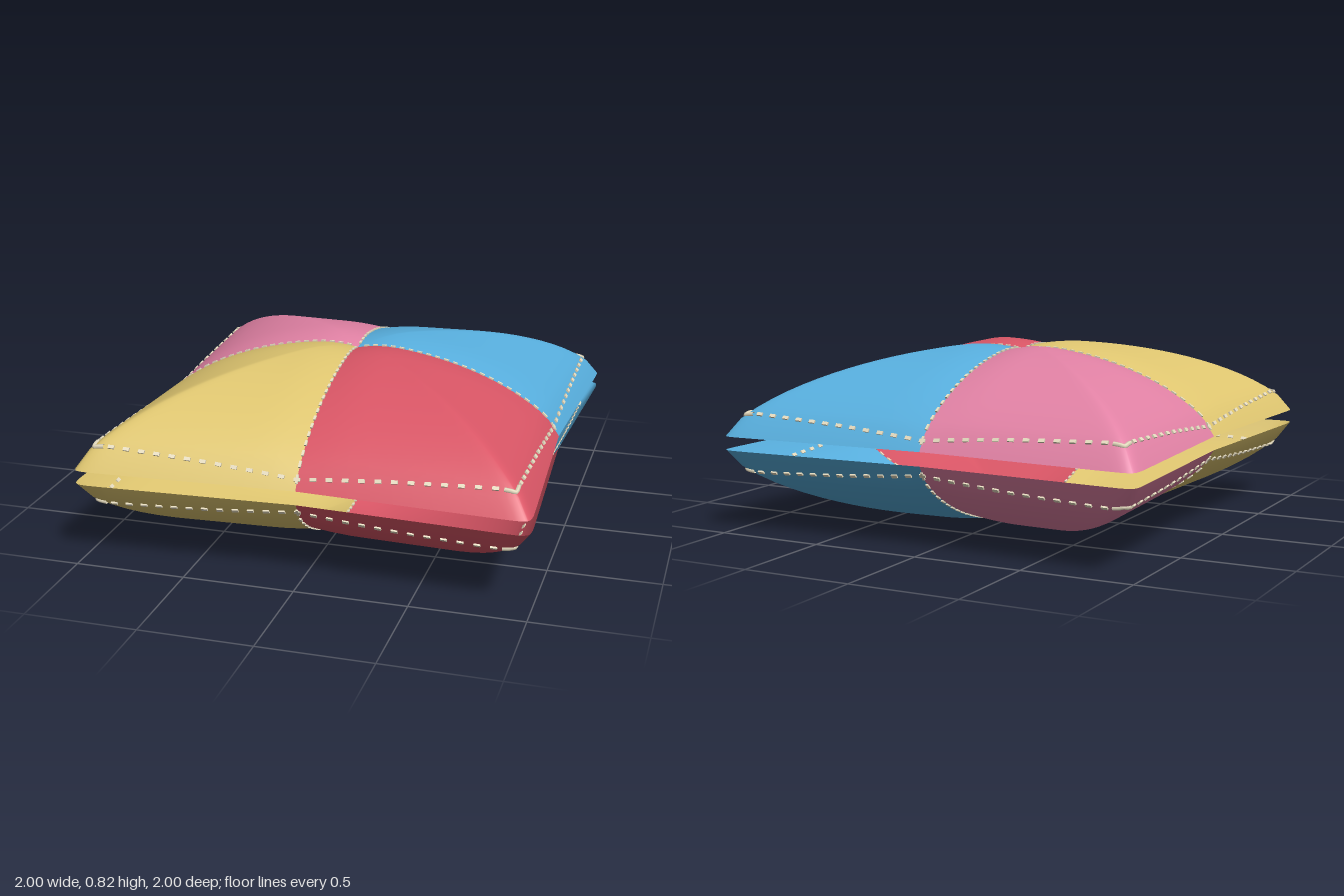
import * as THREE from 'three';
import { mergeGeometries } from 'three/addons/utils/BufferGeometryUtils.js';

const EDGE = 0.953, PINCH = 0.05, POWER = 40; // outline: pinched square with rounded corners
const HEIGHT = 0.387, MIDDLE = 0.411, HALF_GAP = 0.031;

// 0 at the centre, 1 on the rim
function rimFraction(x, z) {
  const ax = Math.abs(x), az = Math.abs(z);
  const a = Math.max(0, (ax - PINCH * az) / EDGE);
  const b = Math.max(0, (az - PINCH * ax) / EDGE);
  return Math.pow(Math.pow(a, POWER) + Math.pow(b, POWER), 1 / POWER);
}

// Puffed height above the rim, with grooves along both seams
function puff(x, z) {
  const s = Math.min(1, rimFraction(x, z));
  const round = v => Math.pow(1 - v * v, 0.7);
  const f = s > 0.95 ? round(0.95) * (1 - s) / 0.05 : round(s);
  const groove = v => 0.022 * Math.pow(Math.max(0, 1 - Math.abs(v) / 0.2), 2);
  return f * (HEIGHT - groove(x) - groove(z));
}

function surfacePoint(x, z, side) {
  return new THREE.Vector3(x, MIDDLE + side * (HALF_GAP + puff(x, z)), z);
}

// One quarter of a shell, made of rings scaled from the outline
function quarterPanel(sx, sz, side) {
  const rings = 20, half = 16, cols = half * 2;
  const positions = [], index = [];
  for (let i = 0; i <= rings; i++) {
    for (let j = 0; j <= cols; j++) {
      const k = j <= half ? j / half : (cols - j) / half;
      const w = 1 - (1 - k) * (1 - k);
      const [dx, dz] = j <= half ? [1, w] : [w, 1];
      const scale = i / rings / rimFraction(dx, dz);
      positions.push(...surfacePoint(sx * dx * scale, sz * dz * scale, side).toArray());
    }
  }
  const flip = sx * sz * side < 0;
  for (let i = 0; i < rings; i++) {
    for (let j = 0; j < cols; j++) {
      const a = i * (cols + 1) + j, b = a + 1, c = a + cols + 1, d = c + 1;
      const tris = i === 0 ? [[a, d, c]] : [[a, b, d], [a, d, c]];
      for (const [p, q, r] of tris) index.push(...(flip ? [p, r, q] : [p, q, r]));
    }
  }
  const geometry = new THREE.BufferGeometry();
  geometry.setAttribute('position', new THREE.Float32BufferAttribute(positions, 3));
  geometry.setIndex(index);
  geometry.computeVertexNormals();
  return geometry;
}

// A short thread lying on the surface between two plan points
function dash(x0, z0, x1, z1, width, side) {
  const p = surfacePoint(x0, z0, side), q = surfacePoint(x1, z1, side);
  const along = q.clone().sub(p);
  const length = along.length();
  along.normalize();
  const cx = (x0 + x1) / 2, cz = (z0 + z1) / 2, e = 0.004;
  const gx = (puff(cx + e, cz) - puff(cx - e, cz)) / (2 * e);
  const gz = (puff(cx, cz + e) - puff(cx, cz - e)) / (2 * e);
  const up = new THREE.Vector3(-gx, side, -gz).normalize();
  const across = new THREE.Vector3().crossVectors(along, up).normalize();
  up.crossVectors(across, along);
  const matrix = new THREE.Matrix4().makeBasis(along, up, across);
  matrix.setPosition(surfacePoint(cx, cz, side).addScaledVector(up, 0.001));
  return new THREE.BoxGeometry(length, 0.012, width).applyMatrix4(matrix);
}

function rimStitches(side) {
  const parts = [], inset = 0.925, count = 25, step = 0.07;
  for (const s of [-1, 1]) {
    for (let i = 0; i < count; i++) {
      const c = (i - (count - 1) / 2) * step;
      parts.push(dash(c - 0.014, s * inset, c + 0.014, s * inset, 0.016, side));
      parts.push(dash(s * inset, c - 0.014, s * inset, c + 0.014, 0.016, side));
    }
  }
  return mergeGeometries(parts);
}

function seamStitches(side) {
  const parts = [];
  for (let i = -22; i <= 22; i++) {
    const c = i * 0.042;
    if (i === 0) continue;
    parts.push(dash(c - 0.011, 0, c + 0.011, 0, 0.011, side));
    parts.push(dash(0, c - 0.011, 0, c + 0.011, 0.011, side));
  }
  return mergeGeometries(parts);
}

// Bent thread around each corner
function cornerStitches(side) {
  const parts = [];
  for (const sx of [-1, 1]) for (const sz of [-1, 1]) {
    const path = [[0.875, 0.925], [0.905, 0.925], [0.922, 0.922], [0.925, 0.905], [0.925, 0.875]]
      .map(([x, z]) => surfacePoint(sx * x, sz * z, side));
    parts.push(new THREE.TubeGeometry(new THREE.CatmullRomCurve3(path), 12, 0.01, 6));
  }
  return mergeGeometries(parts);
}

export function createModel() {
  const material = (name, color) => {
    const m = new THREE.MeshStandardMaterial({ color, side: THREE.DoubleSide });
    m.name = name;
    return m;
  };
  const thread = material('cream thread', 0xe6dcc0);
  const panels = [
    ['redPanel', 1, 1, material('red fabric', 0xda5666)],
    ['yellowPanel', -1, 1, material('yellow fabric', 0xdfc670)],
    ['bluePanel', 1, -1, material('blue fabric', 0x57aedd)],
    ['pinkPanel', -1, -1, material('pink fabric', 0xe282a5)],
  ];

  const model = new THREE.Group();
  model.name = 'patchworkCushion';
  for (const [shellName, side] of [['topShell', 1], ['bottomShell', -1]]) {
    const shell = new THREE.Group();
    shell.name = shellName;
    const add = (name, geometry, mat) => {
      const mesh = new THREE.Mesh(geometry, mat);
      mesh.name = name;
      shell.add(mesh);
    };
    for (const [name, sx, sz, mat] of panels) add(name, quarterPanel(sx, sz, side), mat);
    add('rimStitches', rimStitches(side), thread);
    add('seamStitches', seamStitches(side), thread);
    add('cornerStitches', cornerStitches(side), thread);
    model.add(shell);
  }
  return model;
}
